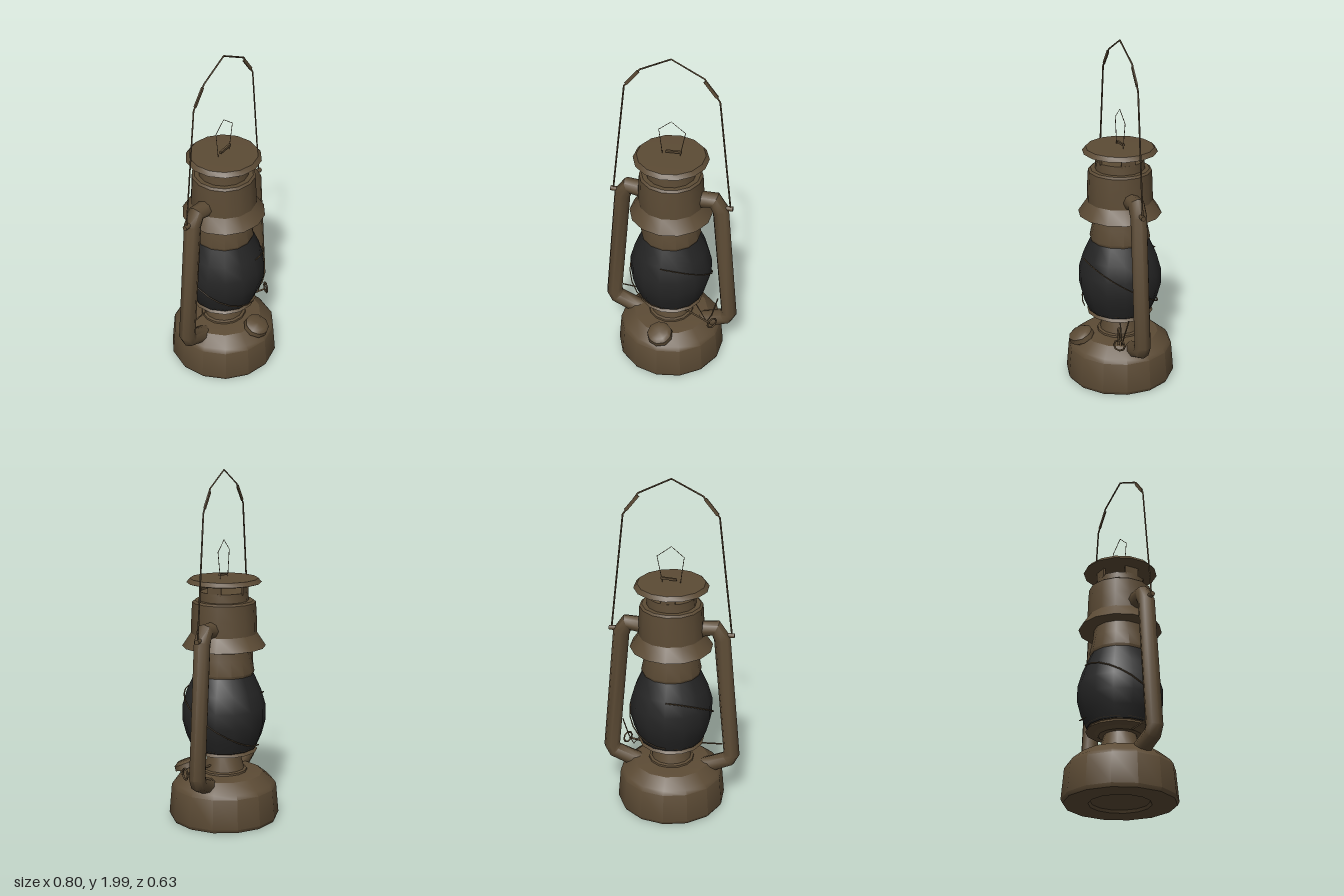
import * as THREE from 'three';
import { toCreasedNormals } from 'three/addons/utils/BufferGeometryUtils.js';

const SIDES = 14;
const mat = (name, color) => Object.assign(new THREE.MeshStandardMaterial({ color }), { name });

// Path that bends sharply at each given point
class Polyline extends THREE.Curve {
  constructor(points) {
    super();
    this.points = points.map((p) => new THREE.Vector3(...p));
  }
  index(u) { return Math.round(u * (this.points.length - 1)); }
  getPoint(u) { return this.points[this.index(u)].clone(); }
  getPointAt(u) { return this.getPoint(u); }
  getTangentAt(u) {
    const p = this.points, i = this.index(u), t = new THREE.Vector3();
    if (i > 0) t.add(p[i].clone().sub(p[i - 1]).normalize());
    if (i < p.length - 1) t.add(p[i + 1].clone().sub(p[i]).normalize());
    return t.normalize();
  }
}

export function createModel() {
  const lantern = new THREE.Group();
  lantern.name = 'lantern';
  const metal = mat('brown metal', 0x5c4b35);
  const glass = mat('dark glass', 0x252525);

  const add = (name, geometry, material = metal) => {
    const mesh = new THREE.Mesh(geometry, material);
    mesh.name = name;
    lantern.add(mesh);
    return mesh;
  };
  const turned = (name, profile, material) => add(name, toCreasedNormals(
    new THREE.LatheGeometry(profile.map(([r, y]) => new THREE.Vector2(r, y)), SIDES), 0.55), material);
  const bent = (name, points, radius, sides = 4) => add(name,
    new THREE.TubeGeometry(new Polyline(points), points.length - 1, radius, sides, false));

  // Fuel tank with a sloping shoulder
  turned('tank', [[0, 0.025], [0.16, 0.025], [0.17, 0.01], [0.305, 0.01], [0.315, 0.03],
    [0.3, 0.2], [0.285, 0.222], [0.22, 0.275], [0.14, 0.285], [0, 0.285]]);

  // Burner and the gallery that holds the globe
  turned('burner', [[0, 0.27], [0.135, 0.27], [0.13, 0.295], [0.115, 0.3], [0.085, 0.41], [0, 0.41]]);
  turned('globeGallery', [[0, 0.39], [0.12, 0.39], [0.14, 0.405], [0.19, 0.41], [0.175, 0.425],
    [0.19, 0.44], [0.16, 0.445], [0, 0.445]]);

  // Globe
  turned('globe', [[0, 0.43], [0.185, 0.43], [0.215, 0.5], [0.236, 0.58], [0.236, 0.67],
    [0.21, 0.76], [0.165, 0.86], [0, 0.86]], glass);

  // Hood: globe collar, flared skirt and chimney
  turned('globeCollar', [[0, 0.85], [0.165, 0.85], [0.172, 0.87], [0.155, 0.95], [0.145, 1.03], [0, 1.03]]);
  turned('hood', [[0, 1.02], [0.225, 1.012], [0.235, 1.015], [0.185, 1.09], [0.183, 1.18],
    [0.178, 1.265], [0.165, 1.275], [0, 1.275]]);
  turned('chimney', [[0, 1.26], [0.14, 1.26], [0.135, 1.325], [0, 1.325]]);
  turned('topCap', [[0, 1.365], [0.14, 1.365], [0.195, 1.37], [0.21, 1.375], [0.19, 1.398], [0, 1.4]]);

  // Posts around the smoke openings
  for (let i = 0; i < 4; i++) {
    const a = i * Math.PI / 2;
    const post = add('chimneyPost', new THREE.BoxGeometry(0.08, 0.06, 0.012));
    post.position.set(0.125 * Math.sin(a), 1.345, 0.125 * Math.cos(a));
    post.rotation.y = a;
  }

  for (const s of [-1, 1]) {
    // Side air tubes
    const tube = add('sideTube', toCreasedNormals(new THREE.TubeGeometry(new Polyline([
      [s * 0.16, 1.13, 0], [s * 0.25, 1.14, 0], [s * 0.286, 1.08, 0],
      [s * 0.354, 0.34, 0], [s * 0.335, 0.3, 0], [s * 0.18, 0.235, 0]]), 5, 0.048, 8, false), 0.9));
    tube.material = metal;
    // Bail pivots
    const pivot = add('bailPivot', new THREE.CylinderGeometry(0.014, 0.014, 0.04, 8));
    pivot.rotation.z = Math.PI / 2;
    pivot.position.set(s * 0.335, 1.1, 0);
  }

  // Carrying bail with a flat grip, and the small lifting ring
  bent('bail', [[-0.34, 1.1, 0], [-0.26, 1.79, 0], [-0.17, 1.905, 0], [0, 1.993, 0],
    [0.18, 1.905, 0], [0.265, 1.78, 0], [0.342, 1.09, 0]], 0.005);
  for (const s of [-1, 1]) {
    const grip = add('bailGrip', new THREE.BoxGeometry(0.11, 0.018, 0.008));
    grip.position.set(s * 0.215, 1.848, 0);
    grip.rotation.z = -s * 0.9;
  }
  bent('liftingRing', [[-0.05, 1.4, 0], [-0.07, 1.55, 0], [0, 1.61, 0], [0.08, 1.55, 0], [0.05, 1.4, 0]], 0.002);
  const ringClip = add('ringClip', new THREE.BoxGeometry(0.09, 0.012, 0.012));
  ringClip.position.set(0.015, 1.42, 0);
  ringClip.rotation.z = 0.08;

  // Fuel filler on the front shoulder
  const filler = new THREE.Group();
  filler.name = 'fuelFiller';
  [[0.05, 0.055, 0.06, 0], [0.072, 0.075, 0.03, 0.035], [0.05, 0.07, 0.015, 0.057]].forEach(([top, bottom, h, y]) => {
    const ring = new THREE.Mesh(toCreasedNormals(new THREE.CylinderGeometry(top, bottom, h, 9), 0.8), metal);
    ring.name = 'fillerCap';
    ring.position.y = y;
    filler.add(ring);
  });
  filler.position.set(0, 0.25, 0.225);
  filler.rotation.x = 0.4;
  lantern.add(filler);

  // Crossing guard wires hugging the globe
  for (const s of [-1, 1]) {
    const points = [];
    for (let i = 0; i <= 12; i++) {
      const a = s * Math.PI / 2 + (i / 12 - 0.5) * Math.PI;
      const y = 0.61 + 0.15 * Math.cos(i / 12 * Math.PI);
      const r = 0.244 - 1.2 * (y - 0.62) ** 2;
      points.push([r * Math.sin(a), y, r * Math.cos(a)]);
    }
    bent('guardWire', points, 0.004);
  }

  // Globe lifting lever, wick knob and wick shaft
  bent('lifterWire', [[0.16, 0.42, 0.06], [0.24, 0.3, 0.08], [0.27, 0.36, 0.08], [0.3, 0.48, 0.06]], 0.004);
  bent('gallerySupport', [[-0.3, 0.395, 0], [-0.13, 0.39, 0]], 0.005);
  bent('wickShaft', [[0.09, 0.33, 0.04], [0.27, 0.32, 0.11]], 0.007);
  const knob = add('wickKnob', new THREE.TorusGeometry(0.032, 0.006, 4, 8));
  knob.position.set(0.28, 0.325, 0.11);
  knob.rotation.y = 0.9;

  return lantern;
}
